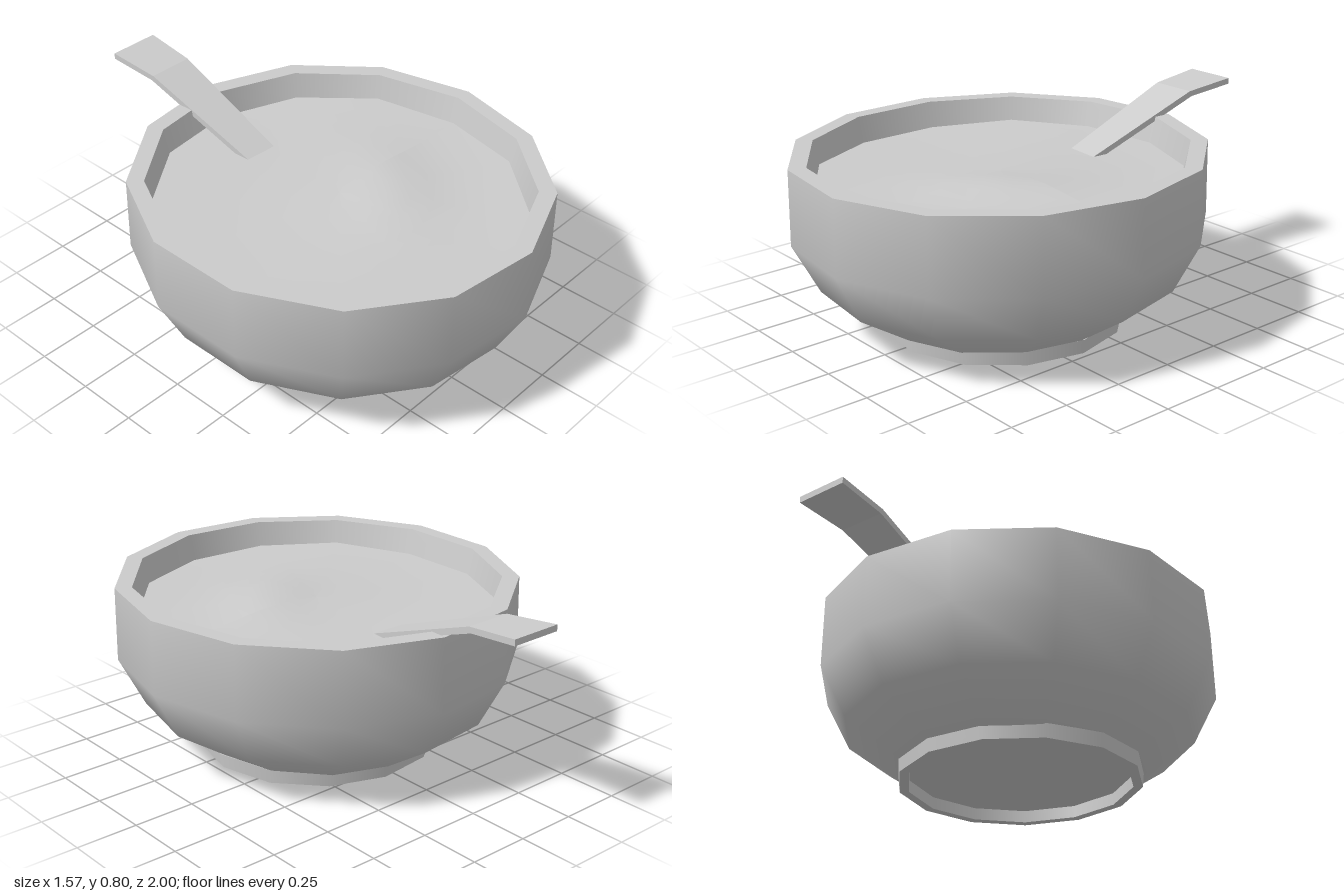
import * as THREE from 'three';

const SIDES = 13;
const STRETCH = 1.046; // the bowl is slightly longer front to back
const CENTRE = [-0.015, 0.17];

export function createModel() {
  const model = new THREE.Group();
  const material = new THREE.MeshStandardMaterial({ color: 0xcccccc, side: THREE.DoubleSide });

  function add(parent, name, geometry) {
    const mesh = new THREE.Mesh(geometry, material);
    mesh.name = name;
    parent.add(mesh);
    return mesh;
  }

  // One smooth turned band; separate bands keep the edges between them sharp
  function turned(parent, name, profile) {
    const points = profile.map(([r, y]) => new THREE.Vector2(r, y));
    return add(parent, name, new THREE.LatheGeometry(points, SIDES, Math.PI / 2));
  }

  // Bowl
  const bowl = new THREE.Group();
  bowl.name = 'bowl';
  bowl.position.set(CENTRE[0], 0, CENTRE[1]);
  bowl.scale.z = STRETCH;
  turned(bowl, 'bowlWall', [[0.48, 0.05], [0.698, 0.2], [0.798, 0.4], [0.794, 0.7]]);
  turned(bowl, 'bowlRim', [[0.794, 0.7], [0.727, 0.7]]);
  turned(bowl, 'bowlInside', [[0.727, 0.7], [0.695, 0.55]]);
  model.add(bowl);

  // Foot ring with a shallow recess underneath
  const foot = new THREE.Group();
  foot.name = 'foot';
  foot.position.set(CENTRE[0], 0, CENTRE[1]);
  turned(foot, 'footOutside', [[0.49, 0], [0.496, 0.058]]);
  turned(foot, 'footBottom', [[0.452, 0], [0.49, 0]]);
  turned(foot, 'footInside', [[0.452, 0.05], [0.452, 0]]);
  turned(foot, 'bowlUnderside', [[0, 0.05], [0.49, 0.05]]);
  model.add(foot);

  // Food surface: a disc with gentle waves and one diagonal ridge
  const rings = 8;
  const discProfile = [];
  for (let i = 0; i <= rings; i++) discProfile.push([0.706 * (1 - i / rings), 0.595]);
  const food = turned(bowl, 'food', discProfile);
  const p = food.geometry.attributes.position;
  for (let i = 0; i < p.count; i++) {
    const x = p.getX(i), z = p.getZ(i);
    const across = (x + z) * 0.707, along = (x - z) * 0.707;
    const ridge = 0.025 * Math.exp(-((across - 0.2) ** 2) / 0.02 - along ** 2 / 0.12);
    const waves = 0.007 * Math.sin(5 * x + 1) * Math.cos(6 * z);
    p.setY(i, p.getY(i) + ridge + waves);
  }
  food.geometry.computeVertexNormals();

  // Spoon handle: bent side profile, widening towards its end
  const side = new THREE.Shape([
    [-0.24, 0.585], [-0.24, 0.56], [-0.785, 0.755], [-1, 0.775], [-1, 0.8], [-0.775, 0.778],
  ].map(([z, y]) => new THREE.Vector2(z, y)));
  const handle = new THREE.ExtrudeGeometry(side, { depth: 2, bevelEnabled: false });
  handle.translate(0, 0, -1).rotateY(-Math.PI / 2);
  const h = handle.attributes.position;
  for (let i = 0; i < h.count; i++) {
    const halfWidth = 0.0725 + 0.05 * (-0.3 - h.getZ(i));
    h.setX(i, -0.012 + h.getX(i) * halfWidth);
  }
  handle.computeVertexNormals();
  add(model, 'spoonHandle', handle);

  return model;
}
